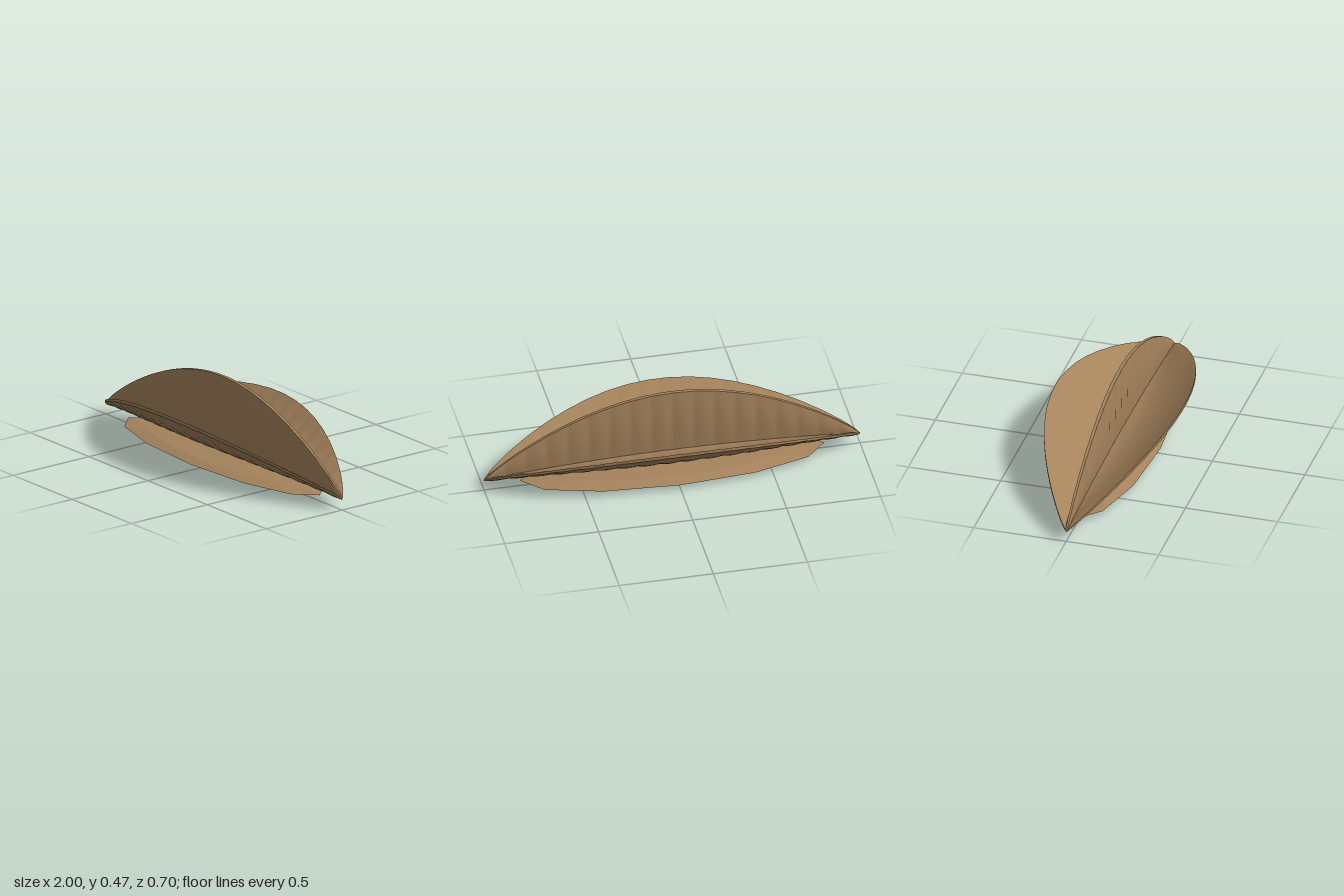
import * as THREE from 'three';
import { toCreasedNormals } from 'three/addons/utils/BufferGeometryUtils.js';

const SPAN = 144; // stations from tip to tip
const STEPS = 9;  // points across each blade

// Lofts a closed blade section along x; point(s, base, u, h, side) gives [y, z]
function bladeGeometry(point) {
  const pos = [], index = [], ring = 2 * (STEPS + 1);
  for (let i = 0; i <= SPAN; i++) {
    const x = -1 + (2 * i) / SPAN;
    const s = Math.pow(Math.max(Math.cos((x * Math.PI) / 2), 0.002), 0.82);
    const base = 0.06 + 0.043 * (1 - x * x);
    const rib = Math.abs(Math.sin(x * Math.PI * 9)); // sharp grooves between ribs
    for (let j = 0; j < ring; j++) {
      const side = j <= STEPS ? 1 : -1;
      const u = (side > 0 ? j : ring - 1 - j) / STEPS;
      const bulge = Math.sin(Math.PI * u);
      const h = (0.3 + 0.7 * Math.sqrt(s)) * (0.008 + 0.002 * rib + bulge * (0.005 + 0.005 * rib));
      const [y, z] = point(s, base, u, h, side);
      pos.push(x, y, z);
    }
  }
  for (let i = 0; i < SPAN; i++) {
    for (let j = 0; j < ring; j++) {
      const a = i * ring + j, b = i * ring + ((j + 1) % ring);
      index.push(a, b, a + ring, b, b + ring, a + ring);
    }
  }
  const geo = new THREE.BufferGeometry();
  geo.setAttribute('position', new THREE.Float32BufferAttribute(pos, 3));
  geo.setIndex(index);
  return toCreasedNormals(geo, 0.7);
}

export function createModel() {
  const group = new THREE.Group();
  const husk = new THREE.MeshStandardMaterial({ color: 0xa5835c });
  husk.name = 'dry husk';

  const add = (name, geometry) => {
    const mesh = new THREE.Mesh(geometry, husk);
    mesh.name = name;
    group.add(mesh);
    return mesh;
  };

  // Upright middle blade
  add('middleBlade', bladeGeometry((s, base, u, h, side) => [
    base + (0.06 + 0.41 * s - base) * u,
    -side * h,
  ]));

  // Two sagging blades spreading to the front and back
  const spread = bladeGeometry((s, base, u, h, side) => [
    base + (0.06 + 0.25 * s - base) * Math.pow(u, 1 + 0.75 * s) + side * h,
    0.35 * s * u,
  ]);
  add('frontBlade', spread);
  add('backBlade', spread).rotation.y = Math.PI;

  // Flat faceted seed body lying underneath
  const profile = [[0, 0], [0.2, 0.002], [0.76, 0.011], [1, 0.031], [0.76, 0.05], [0.2, 0.059], [0, 0.061]]
    .map(([r, y]) => new THREE.Vector2(r, y));
  const seed = new THREE.LatheGeometry(profile, 12);
  seed.scale(0.81, 1, 0.22);
  add('seedBody', toCreasedNormals(seed, 0.15));

  return group;
}
